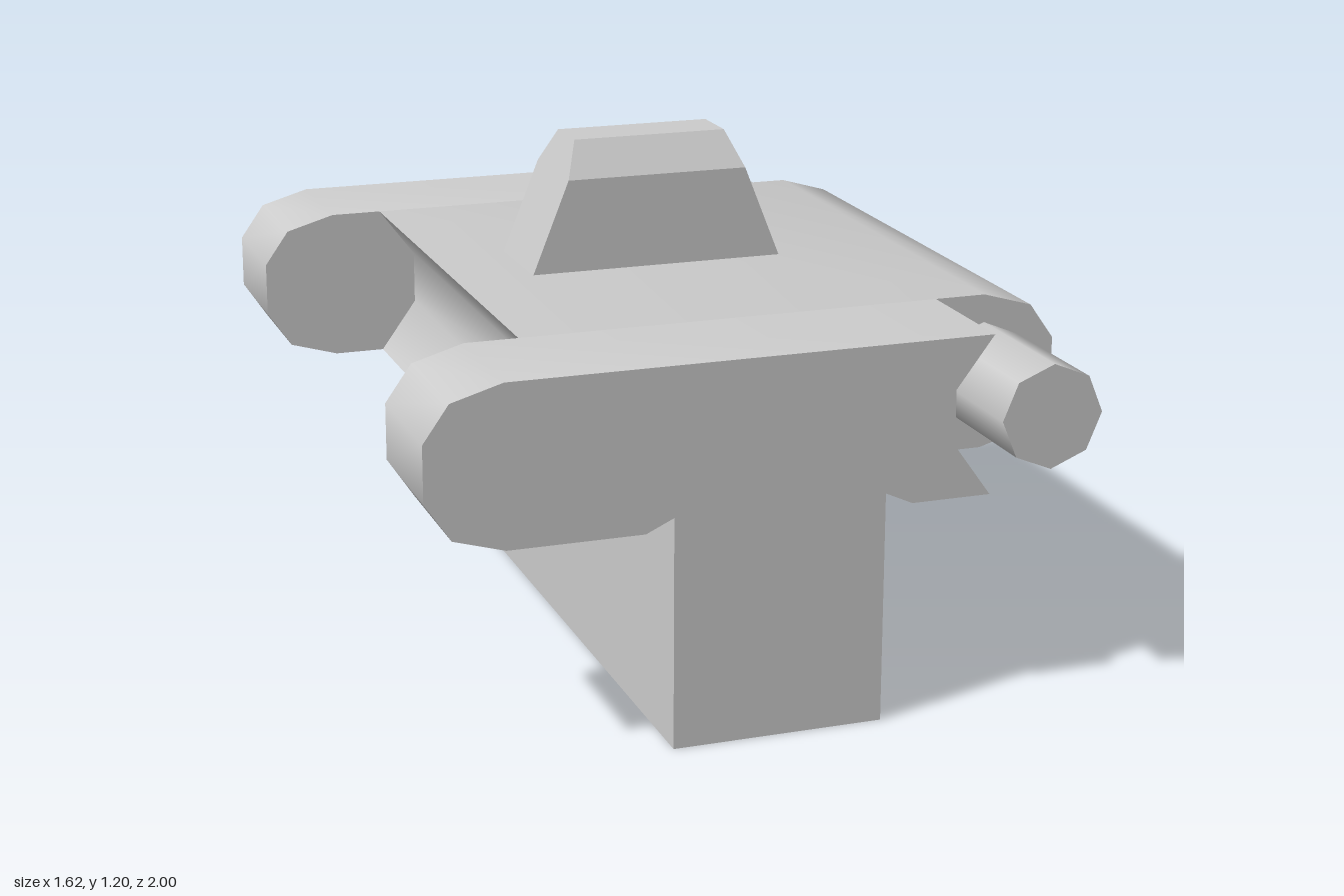
import * as THREE from 'three';
import { toCreasedNormals } from 'three/addons/utils/BufferGeometryUtils.js';
import { ConvexGeometry } from 'three/addons/geometries/ConvexGeometry.js';

const material = new THREE.MeshStandardMaterial({ color: 0xcccccc });

// Half-outlines of the link in x and y, from the top edge down to the foot
const roundedEnd = [[0.63, 0.89], [0.75, 0.855], [0.81, 0.77], [0.81, 0.64], [0.75, 0.55], [0.63, 0.515]];
const hollowEnd = [[0.505, 0.89], [0.415, 0.77], [0.415, 0.64], [0.505, 0.515]];
const foot = [[0.315, 0.515], [0.25, 0.545], [0.25, 0]];

// One slice of the link: its +x side and -x side profiles, extruded along z
function linkSlice(name, plusSide, minusSide, zFrom, zTo) {
  const right = [...plusSide, ...foot];
  const left = [...minusSide, ...foot].map(([x, y]) => [-x, y]).reverse();
  const shape = new THREE.Shape([...right, ...left].map(([x, y]) => new THREE.Vector2(x, y)));
  const geometry = new THREE.ExtrudeGeometry(shape, { depth: zTo - zFrom, bevelEnabled: false });
  geometry.translate(0, 0, zFrom);
  const mesh = new THREE.Mesh(toCreasedNormals(geometry, 0.75), material);
  mesh.name = name;
  return mesh;
}

export function createModel() {
  const group = new THREE.Group();
  group.name = 'trackLink';

  // Middle slice carries the hinge barrel on +x and a hollow on -x
  group.add(linkSlice('middleSection', roundedEnd, hollowEnd, -0.635, 0.635));

  // End slices carry the hinge lugs on -x and a hollow on +x
  group.add(linkSlice('frontSection', hollowEnd, roundedEnd, 0.635, 0.95));
  group.add(linkSlice('backSection', hollowEnd, roundedEnd, -0.95, -0.635));

  // Octagonal hinge pins at both ends of the barrel
  for (const side of [1, -1]) {
    const geometry = new THREE.CylinderGeometry(0.123, 0.123, 0.365, 8);
    geometry.rotateX(Math.PI / 2);
    const pin = new THREE.Mesh(geometry, material);
    pin.position.set(0.63, 0.7, side * 0.8175);
    pin.name = side > 0 ? 'frontPin' : 'backPin';
    group.add(pin);
  }

  // Guide tooth: tapering in x, chamfered along the top in z
  const corners = [];
  for (const [x, y, z] of [[0.315, 0.89, 0.125], [0.225, 1.115, 0.125], [0.191, 1.2, 0.065]]) {
    for (const sx of [1, -1]) for (const sz of [1, -1]) corners.push(new THREE.Vector3(sx * x, y, sz * z));
  }
  const tooth = new THREE.Mesh(new ConvexGeometry(corners), material);
  tooth.name = 'guideTooth';
  group.add(tooth);

  return group;
}
